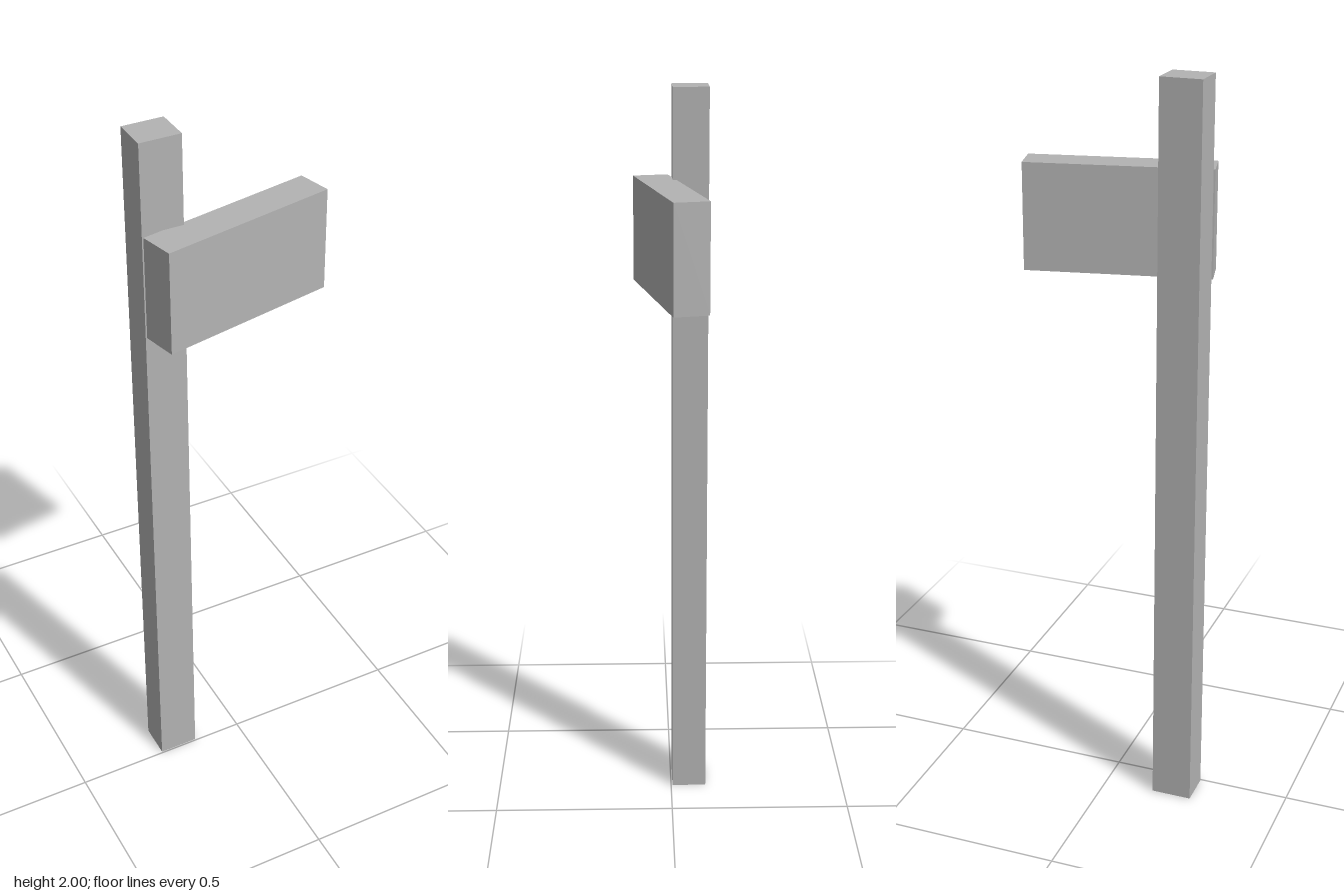
import * as THREE from 'three';

export function createModel() {
  const group = new THREE.Group();
  const grey = new THREE.MeshStandardMaterial({ color: 0xb3b3b3 });
  grey.name = 'grey';

  // Upright square post
  const post = new THREE.Mesh(new THREE.BoxGeometry(0.11, 2, 0.096), grey);
  post.name = 'post';
  post.position.set(-0.194, 1, -0.052);
  group.add(post);

  // Angled sign board: plan outline (x, -z) raised to the board's height
  const outline = new THREE.Shape([
    new THREE.Vector2(-0.228, -0.099),
    new THREE.Vector2(0.249, -0.003),
    new THREE.Vector2(0.227, 0.088),
    new THREE.Vector2(-0.25, -0.007),
  ]);
  const boardGeometry = new THREE.ExtrudeGeometry(outline, { depth: 0.28, bevelEnabled: false });
  boardGeometry.rotateX(-Math.PI / 2);
  const board = new THREE.Mesh(boardGeometry, grey);
  board.name = 'signBoard';
  board.position.y = 1.482;
  group.add(board);

  return group;
}
